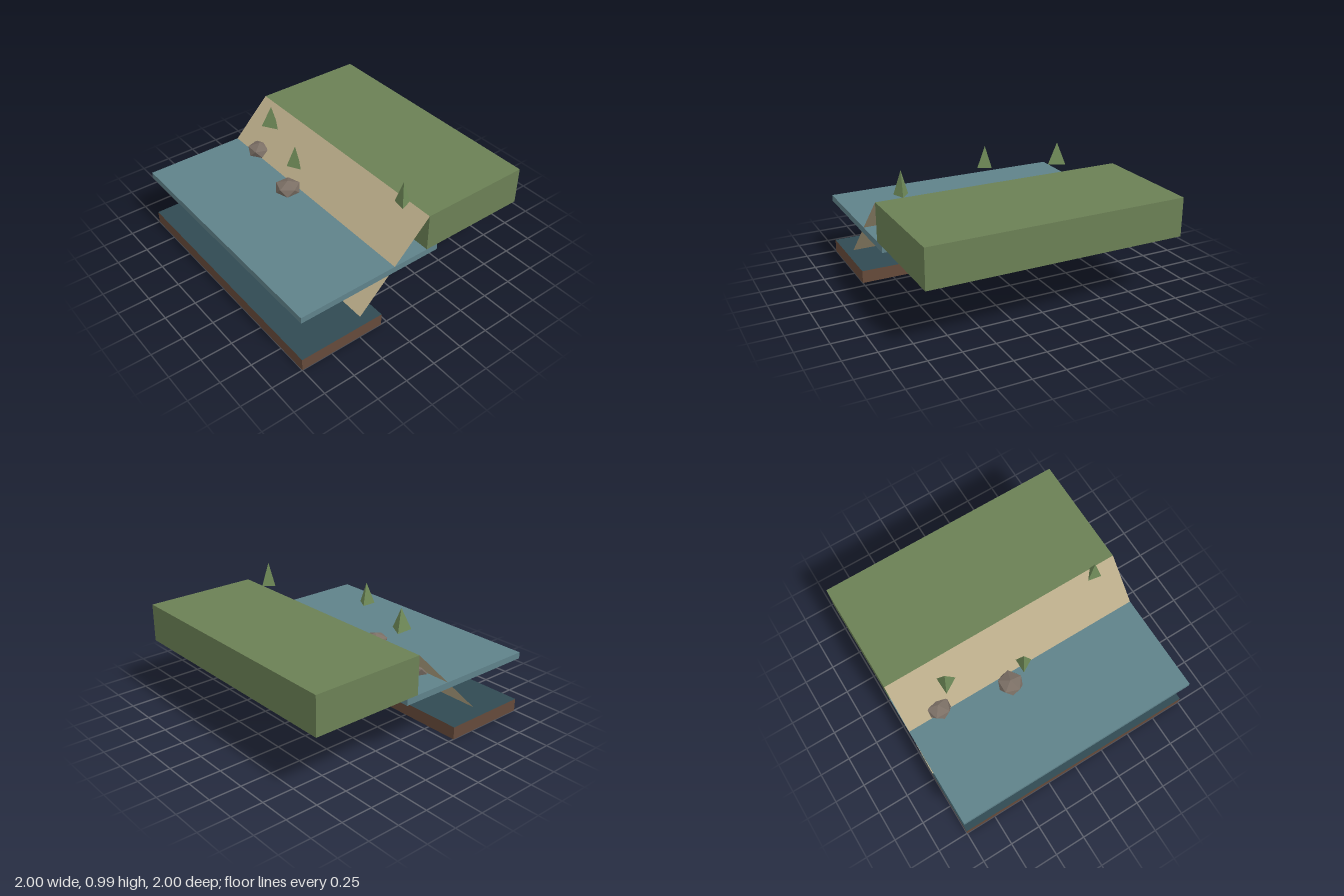
import * as THREE from 'three';

function paint(name, color, side = THREE.FrontSide) {
  const m = new THREE.MeshStandardMaterial({ color, side });
  m.name = name;
  return m;
}

// Box without a bottom, spanning x -1..1, with its own top material
function openBox(name, y0, y1, z0, z1, sideMat, topMat = sideMat) {
  const geo = new THREE.BoxGeometry(2, y1 - y0, z1 - z0);
  const idx = Array.from(geo.index.array);
  idx.splice(18, 6); // drop the bottom face
  geo.setIndex(idx);
  geo.clearGroups();
  geo.addGroup(0, 12, 0);
  geo.addGroup(12, 6, 1);
  geo.addGroup(18, 12, 0);
  const mesh = new THREE.Mesh(geo, [sideMat, topMat]);
  mesh.name = name;
  mesh.position.set(0, (y0 + y1) / 2, (z0 + z1) / 2);
  return mesh;
}

export function createModel() {
  const grass = paint('grass green', 0x6b8055, THREE.DoubleSide);
  const sand = paint('sand', 0xb8aa88, THREE.DoubleSide);
  const water = paint('water blue', 0x5f828a, THREE.DoubleSide);
  const earth = paint('earth brown', 0x654a3a, THREE.DoubleSide);
  const deep = paint('deep water', 0x304a53, THREE.DoubleSide);
  const stone = paint('stone', 0x7b6f65);
  const leaf = paint('leaf green', 0x6f8a58);

  const model = new THREE.Group();
  model.name = 'shoreline';

  // Stacked terrain slabs
  model.add(
    openBox('grassBank', 0.5, 0.8, -1, -0.1, grass),
    openBox('waterSheet', 0.45, 0.5, -0.2, 1, water),
    openBox('lakeBed', 0, 0.1, 0.3, 1, earth, deep)
  );

  // Beach sheet sloping at 45 degrees through the water
  const beach = new THREE.Mesh(new THREE.PlaneGeometry(2, 0.6 * Math.SQRT2), sand);
  beach.name = 'beachSlope';
  beach.rotation.x = -Math.PI / 4;
  beach.position.set(0, 0.5, 0.2);
  model.add(beach);

  // Flattened rocks: x, z, turn
  const rockGeo = new THREE.IcosahedronGeometry(0.105, 0);
  rockGeo.rotateX(-Math.atan((1 + Math.sqrt(5)) / 2)); // one vertex up
  rockGeo.scale(1, 0.6, 1);
  [[-0.16, 0.28, 0.3], [-0.72, 0.16, 0.6], [-0.41, 0.03, 0.1], [-0.03, 0.03, 0.9]].forEach(([x, z, turn], i) => {
    const rock = new THREE.Mesh(rockGeo, stone);
    rock.name = `rock${i + 1}`;
    rock.position.set(x, 0.527, z);
    rock.rotation.y = turn;
    model.add(rock);
  });

  // Three-sided trees: x, z, radius, height, turn
  [
    [-0.603, 0.11, 0.08, 0.17, 1.6],
    [-0.047, 0.28, 0.066, 0.17, 1.57],
    [0.78, -0.045, 0.062, 0.19, 2.97],
  ].forEach(([x, z, r, h, turn], i) => {
    const geo = new THREE.ConeGeometry(r, h, 3).toNonIndexed();
    geo.computeVertexNormals();
    const tree = new THREE.Mesh(geo, leaf);
    tree.name = `tree${i + 1}`;
    tree.position.set(x, 0.8 + h / 2, z);
    tree.rotation.y = turn;
    model.add(tree);
  });

  return model;
}
